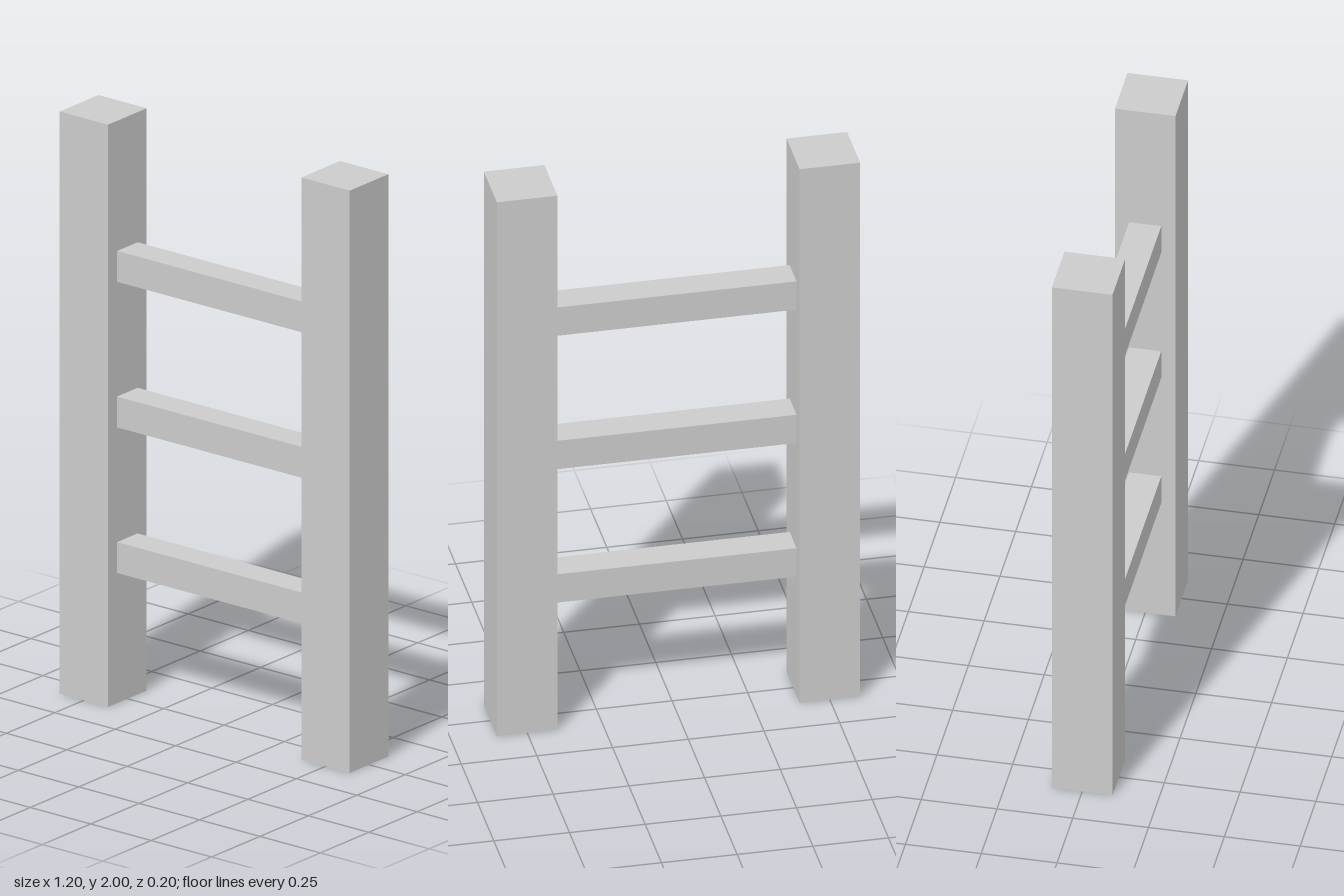
import * as THREE from 'three';

export function createModel() {
  const model = new THREE.Group();
  model.name = 'ladder';
  const material = new THREE.MeshStandardMaterial({ color: 0xcccccc, flatShading: true });

  const addBox = (name, size, position) => {
    const mesh = new THREE.Mesh(new THREE.BoxGeometry(...size), material);
    mesh.name = name;
    mesh.position.set(...position);
    model.add(mesh);
  };

  // Two square upright posts
  addBox('leftPost', [0.2, 2, 0.2], [0.5, 1, 0]);
  addBox('rightPost', [0.2, 2, 0.2], [-0.5, 1, 0]);

  // Three evenly spaced square rungs between the posts
  ['lowerRung', 'middleRung', 'upperRung'].forEach((name, i) => {
    addBox(name, [0.8, 0.106, 0.106], [0, 0.5 + i * 0.5, 0]);
  });

  return model;
}
